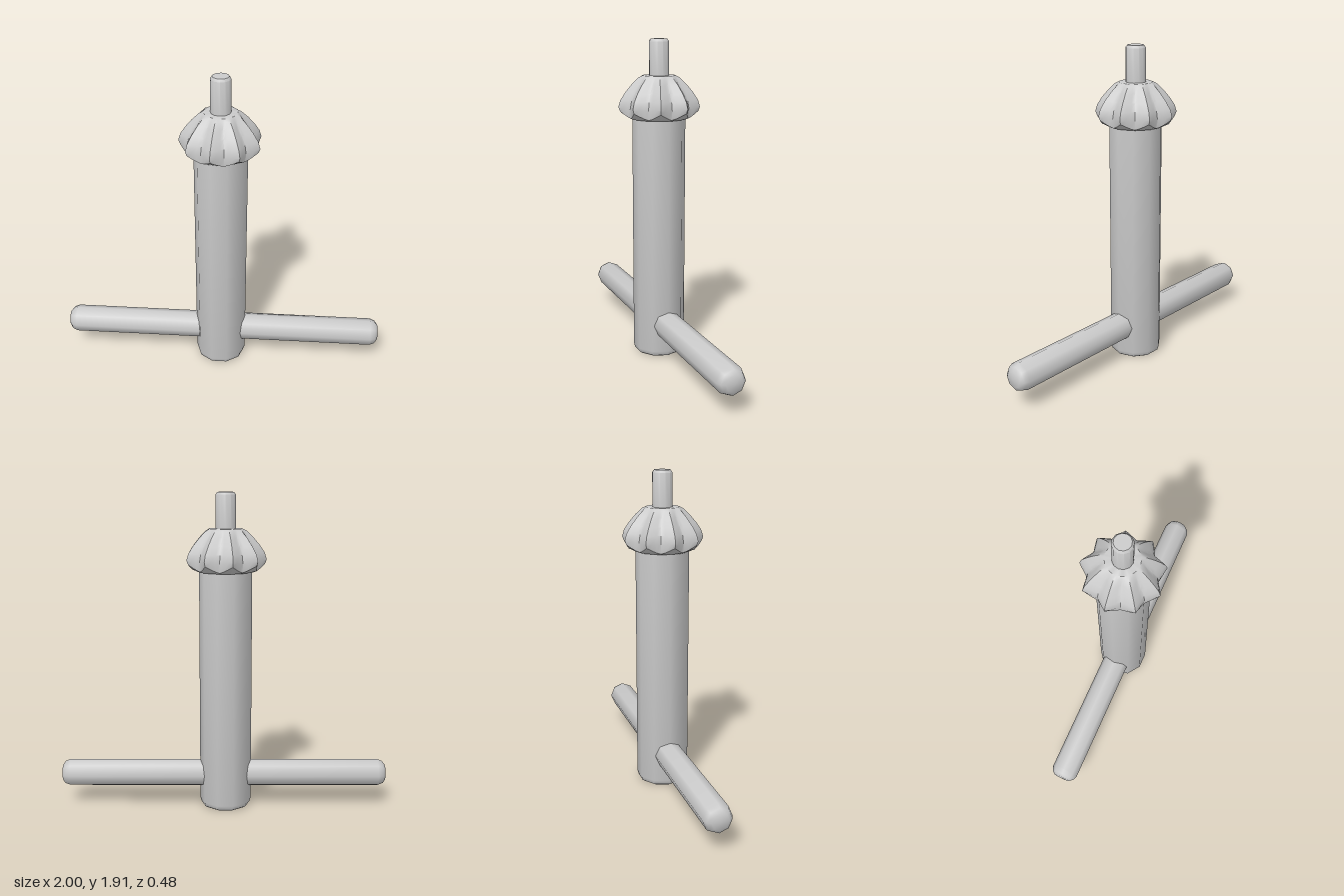
import * as THREE from 'three';
import { toCreasedNormals } from 'three/addons/utils/BufferGeometryUtils.js';

const material = new THREE.MeshStandardMaterial({ color: 0xcccccc });
const AXIS_X = -0.01; // the shaft sits slightly off the middle of the handle

function part(name, geometry, crease) {
  const mesh = new THREE.Mesh(toCreasedNormals(geometry, crease), material);
  mesh.name = name;
  return mesh;
}

// Turned part from [radius, height] pairs, listed bottom to top
function turned(profile, sides) {
  const points = profile.map(([r, y]) => new THREE.Vector2(r, y));
  return new THREE.LatheGeometry(points, sides).rotateY(Math.PI / 2);
}

// Bevel gear: each ring blends from a tooth crest to a rounded valley
function gearGeometry(teeth, steps) {
  // [crest radius, crest height, valley radius, valley height]
  const rings = [
    [0, 1.45, 0, 1.45],
    [0.165, 1.45, 0.17, 1.45],
    [0.232, 1.495, 0.192, 1.458],
    [0.242, 1.52, 0.197, 1.51],
    [0.23, 1.56, 0.187, 1.56],
    [0.2, 1.605, 0.162, 1.605],
    [0.162, 1.65, 0.13, 1.65],
    [0.122, 1.688, 0.108, 1.688],
    [0.098, 1.7, 0.096, 1.7],
    [0, 1.7, 0, 1.7],
  ];
  const count = teeth * steps;
  const positions = [];
  const index = [];
  for (const [crestR, crestY, valleyR, valleyY] of rings) {
    for (let i = 0; i < count; i++) {
      const angle = Math.PI + (i / count) * Math.PI * 2;
      const fromCrest = Math.abs((((i % steps) / steps + 0.5) % 1) - 0.5) * 2;
      const k = Math.pow(1 - fromCrest, 1.4);
      const r = THREE.MathUtils.lerp(valleyR, crestR, k);
      const y = THREE.MathUtils.lerp(valleyY, crestY, k);
      positions.push(r * Math.cos(angle), y, r * Math.sin(angle));
    }
  }
  for (let j = 0; j < rings.length - 1; j++) {
    for (let i = 0; i < count; i++) {
      const a = j * count + i;
      const b = j * count + ((i + 1) % count);
      const c = a + count;
      const d = b + count;
      if (j > 0) index.push(a, c, b);
      if (j < rings.length - 2) index.push(b, c, d);
    }
  }
  const geometry = new THREE.BufferGeometry();
  geometry.setAttribute('position', new THREE.Float32BufferAttribute(positions, 3));
  geometry.setIndex(index);
  return geometry;
}

export function createModel() {
  const model = new THREE.Group();
  model.name = 'chuckKey';

  // Upright parts share the shaft axis
  const upright = new THREE.Group();
  upright.name = 'keyBody';
  upright.position.x = AXIS_X;
  upright.add(
    part('shaft', turned([[0, 0], [0.135, 0], [0.15, 0.01], [0.157, 0.035], [0.157, 1.46], [0, 1.46]], 10), 0.75),
    part('gearHead', gearGeometry(9, 6), 0.6),
    part('pilotPin', turned([[0, 1.68], [0.059, 1.68], [0.059, 1.895], [0.048, 1.91], [0, 1.91]], 12), 0.65)
  );
  model.add(upright);

  // Cross handle with rounded ends
  const end = [[0, 1], [0.05, 0.997], [0.073, 0.98], [0.085, 0.95]];
  const profile = [...end.map(([r, y]) => [r, -y]), ...[...end].reverse()];
  const handle = part('crossHandle', turned(profile, 8).rotateZ(-Math.PI / 2), 0.9);
  handle.position.y = 0.2;
  model.add(handle);

  return model;
}
